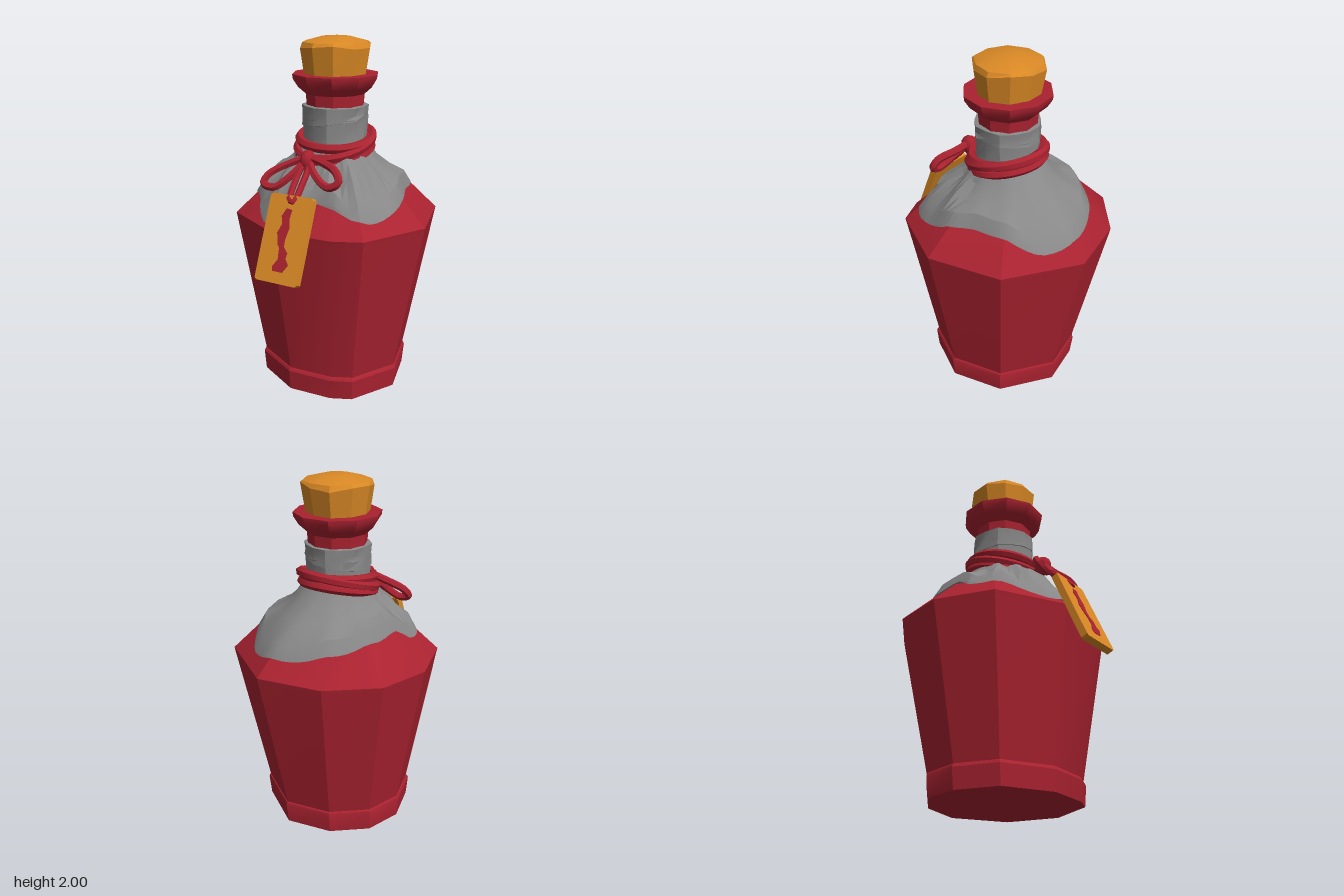
import * as THREE from 'three';
import { toCreasedNormals } from 'three/addons/utils/BufferGeometryUtils.js';

const V = (x, y, z) => new THREE.Vector3(x, y, z);

// Skin through rings of equal point count, listed bottom to top, with optional end caps
function loft(rings, capBottom, capTop, crease = 0.45) {
  const n = rings[0].length, pos = [], idx = [];
  rings.forEach(r => r.forEach(p => pos.push(p.x, p.y, p.z)));
  for (let k = 0; k < rings.length - 1; k++) {
    for (let i = 0; i < n; i++) {
      const j = (i + 1) % n, a = k * n + i, b = k * n + j, c = b + n, d = a + n;
      idx.push(a, b, c, a, c, d);
    }
  }
  const cap = (k, up) => {
    const m = rings[k].reduce((s, p) => s.add(p), V(0, 0, 0)).divideScalar(n);
    const c = pos.length / 3;
    pos.push(m.x, m.y, m.z);
    for (let i = 0; i < n; i++) {
      const a = k * n + i, b = k * n + (i + 1) % n;
      if (up) idx.push(a, b, c); else idx.push(b, a, c);
    }
  };
  if (capBottom) cap(0, false);
  if (capTop) cap(rings.length - 1, true);
  const g = new THREE.BufferGeometry();
  g.setAttribute('position', new THREE.Float32BufferAttribute(pos, 3));
  g.setIndex(idx);
  return toCreasedNormals(g, crease);
}

// Horizontal circle as a ring of points; wobble(angle, index) changes radius, lift changes height
function circle(r, y, n, cz = -0.02, wobble = () => 0, lift = () => 0) {
  return Array.from({ length: n }, (_, i) => {
    const a = i / n * Math.PI * 2 - 0.2, q = r + wobble(a, i);
    return V(Math.sin(a) * q, y + lift(a, i), cz + Math.cos(a) * q);
  });
}

// Uneven ten-sided bottle outline, from the front round towards +x
const CZ = -0.06;
const outline = [[-0.11, 0.5], [0.25, 0.48], [0.41, 0.41], [0.595, 0.04], [0.48, -0.38],
  [0.085, -0.63], [-0.28, -0.55], [-0.52, -0.33], [-0.59, -0.03], [-0.48, 0.3]]
  .map(([x, z]) => [x, z - CZ]);
const section = (s, y, cz = CZ) => outline.map(([x, z]) => V(x * s, y, cz + z * s));

// Height of the bottle shoulder below a point, from its relative distance to the outline
function shoulderY(x, z) {
  let s = 0;
  outline.forEach(([ax, az], i) => {
    const [bx, bz] = outline[(i + 1) % outline.length];
    const nx = az - bz, nz = bx - ax;
    s = Math.max(s, (nx * x + nz * (z - CZ)) / (nx * ax + nz * az));
  });
  return 1 + (1 - s) * 0.567;
}

export function createModel() {
  const group = new THREE.Group();
  const mat = (name, color, extra = {}) => {
    const m = new THREE.MeshStandardMaterial({ color, ...extra });
    m.name = name;
    return m;
  };
  const red = mat('red', 0xaa2230);
  const ochre = mat('ochre', 0xda8925);
  const grey = mat('grey', 0x888888, { side: THREE.DoubleSide });
  const add = (name, geo, material, parent = group) => {
    const m = new THREE.Mesh(geo, material);
    m.name = name;
    parent.add(m);
    return m;
  };

  // Bottle: base band, tapered body, shoulder, neck and flared lip
  add('bottle', loft([
    section(0.715, 0, -0.025), section(0.735, 0.115, -0.028), section(0.725, 0.13, -0.03),
    section(0.715, 0.135, -0.03), section(0.99, 0.97), section(1, 1), section(0.7, 1.17),
    section(0.42, 1.23, -0.04), circle(0.165, 1.34, 10), circle(0.163, 1.6, 10),
    circle(0.17, 1.69, 10), circle(0.215, 1.73, 10), circle(0.243, 1.775, 10),
    circle(0.246, 1.8, 10), circle(0.16, 1.8, 10),
  ], true, true), red);

  // Cork with a slightly uneven domed top
  const chip = (a, i) => 0.005 * Math.sin(i * 2.3);
  add('cork', loft([
    circle(0.172, 1.78, 10, -0.02, chip), circle(0.198, 1.95, 10, -0.025, chip, (a, i) => 0.012 * Math.sin(i * 1.9)),
    circle(0.185, 1.972, 10, -0.025, chip), circle(0.08, 2, 10, -0.025),
  ], true, true), ochre);

  // Draped cloth: free-form hem resting on the shoulder, gathered at the neck, folds at the front
  const hem = new THREE.CatmullRomCurve3([[-0.05, 0.45], [0.03, 0.36], [0.2, 0.36], [0.35, 0.35],
    [0.41, 0.28], [0.455, 0.05], [0.4, -0.12], [0.36, -0.28], [0.26, -0.45], [0.17, -0.51], [0.07, -0.54],
    [-0.13, -0.49], [-0.28, -0.38], [-0.38, -0.2], [-0.4, 0], [-0.43, 0.07], [-0.4, 0.2], [-0.33, 0.27],
    [-0.27, 0.36], [-0.17, 0.45]].map(([x, z]) => V(x, 0, z)), true).getSpacedPoints(60).slice(0, 60);
  const drape = (t, height, fold) => hem.map((p, i) => {
    const a = Math.atan2(p.x, p.z + 0.02);
    const x = THREE.MathUtils.lerp(p.x, Math.sin(a) * 0.19, t);
    const z = THREE.MathUtils.lerp(p.z, -0.02 + Math.cos(a) * 0.19, t);
    const front = THREE.MathUtils.smoothstep(p.z, -0.2, 0.2);
    const y = height(shoulderY(p.x, p.z)) + fold * (0.15 + front) * Math.sin(i * 1.35 + t * 3);
    return V(x, Math.max(y, shoulderY(x, z) * (t < 0.3 ? 1 : 0) + 0.008), z);
  });
  add('drapedCloth', loft([
    drape(0, y => y - 0.012, 0), drape(0.02, y => y + 0.02, 0.004), drape(0.17, y => y + 0.085, 0.012),
    drape(0.5, y => 1.26 + (y - 1.1) * 0.2, 0.018), drape(0.8, () => 1.33, 0.012), drape(1, () => 1.41, 0),
  ], false, false, 0.4), grey);

  // Two cloth bands wound round the neck
  const crumple = (a, i) => 0.006 * Math.sin(i * 2.7);
  const band = (name, y0, y1, r0, r1, tilt) => add(name, loft([
    circle(r0 - 0.012, y0 - 0.005, 14, -0.018, crumple, a => tilt * Math.sin(a)),
    circle(r0, y0, 14, -0.018, crumple, a => tilt * Math.sin(a)),
    circle(r1, (y0 + y1) / 2, 14, -0.018, (a, i) => 0.005 * Math.sin(i * 1.7)),
    circle(r0, y1, 14, -0.018, crumple),
    circle(0.15, y1 + 0.005, 14, -0.018),
  ], false, false), grey);
  band('lowerNeckBand', 1.38, 1.56, 0.182, 0.176, 0.01);
  band('upperNeckBand', 1.53, 1.625, 0.184, 0.18, 0.025);

  // Cord wound three times round the neck, lower at the front
  const cord = (name, points, radius, closed, segments = 32) => {
    const curve = new THREE.CatmullRomCurve3(points.map(p => V(...p)), closed);
    return add(name, toCreasedNormals(new THREE.TubeGeometry(curve, segments, radius, 6, closed), 0.6), red);
  };
  [[1.375, 0.205, 0.24, 0], [1.415, 0.212, 0.3, 0.03], [1.44, 0.2, 0.14, -0.06]].forEach(([y, r, slope, side], k) => {
    const pts = Array.from({ length: 14 }, (_, i) => {
      const a = i / 14 * Math.PI * 2, x = Math.sin(a) * r, z = Math.cos(a) * r;
      return [x, y - z * slope + x * side, z - 0.015];
    });
    cord('cordWrap' + (k + 1), pts, 0.027, true, 28);
  });

  // Bow: knot, side loops and hanging tail loop
  const knot = add('bowKnot', new THREE.IcosahedronGeometry(0.05, 1), red);
  knot.scale.set(0.85, 1.2, 1.1);
  knot.position.set(-0.005, 1.36, 0.275);
  cord('bowLoopRight', [[-0.01, 1.37, 0.28], [-0.1, 1.34, 0.31], [-0.2, 1.28, 0.37], [-0.215, 1.235, 0.4],
    [-0.15, 1.22, 0.4], [-0.07, 1.28, 0.36]], 0.022, true);
  cord('bowLoopLeft', [[0.01, 1.37, 0.28], [0.1, 1.36, 0.29], [0.2, 1.33, 0.33], [0.225, 1.28, 0.35],
    [0.17, 1.25, 0.36], [0.07, 1.3, 0.33]], 0.022, true);
  cord('bowTail', [[-0.01, 1.35, 0.3], [-0.025, 1.26, 0.38], [-0.01, 1.18, 0.455], [0.015, 1.175, 0.46],
    [0.025, 1.25, 0.39], [0.01, 1.34, 0.3]], 0.018, true);

  // Hanging tag with bevelled edges, tilted back at the top
  const tag = new THREE.Group();
  tag.name = 'tag';
  tag.position.set(0.003, 0.982, 0.525);
  tag.rotation.x = -0.4;
  group.add(tag);
  const w = 0.132, h = 0.237, c = 0.012;
  const plate = new THREE.Shape([[-w + c, -h], [w - c, -h], [w, -h + c], [w, h - c], [w - c, h],
    [-w + c, h], [-w, h - c], [-w, -h + c]].map(p => new THREE.Vector2(...p)));
  const plateGeo = new THREE.ExtrudeGeometry(plate, { depth: 0.04, bevelEnabled: false });
  plateGeo.translate(0, 0, -0.02);
  add('tagPlate', plateGeo, ochre, tag);

  // Painted blot on the tag
  const blot = new THREE.Shape([[-0.015, 0.165], [0.018, 0.16], [0.012, 0.11], [0.022, 0.06], [0.01, 0],
    [0.012, -0.04], [0.04, -0.07], [0.035, -0.1], [0.058, -0.13], [0.03, -0.175], [-0.03, -0.175],
    [-0.035, -0.15], [-0.01, -0.11], [-0.015, -0.05], [-0.03, -0.03], [-0.045, 0.03], [-0.025, 0.08],
    [-0.038, 0.12]].map(p => new THREE.Vector2(...p)));
  const blotGeo = new THREE.ExtrudeGeometry(blot, { depth: 0.005, bevelEnabled: false });
  blotGeo.translate(0, 0, 0.018);
  add('tagBlot', blotGeo, red, tag);

  return group;
}
